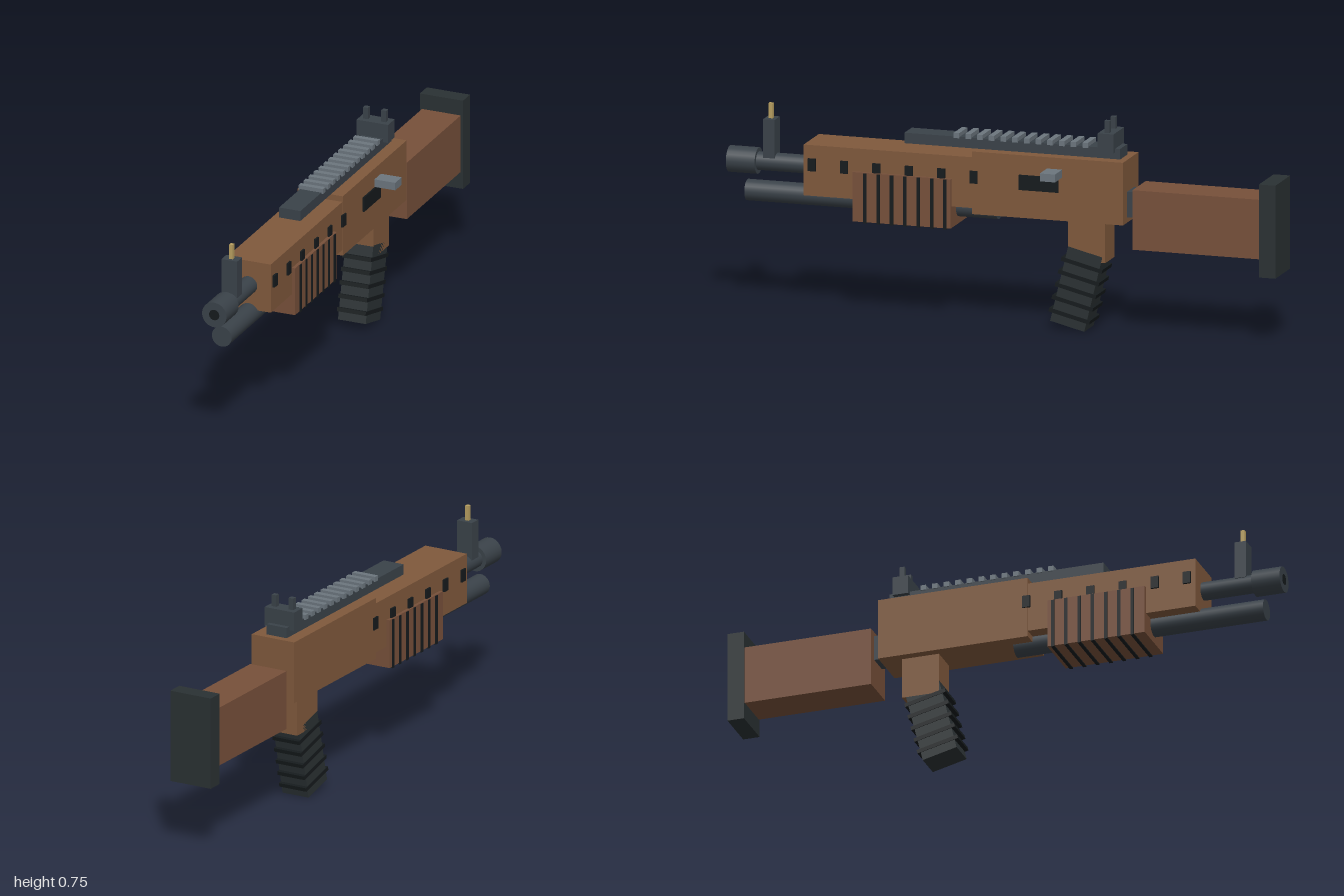
import * as THREE from 'three';

const CX = -0.033; // centre line of the body

const mat = (color) => new THREE.MeshStandardMaterial({ color });

export function createModel() {
  const model = new THREE.Group();
  const tan = mat(0x80593c), wood = mat(0x77503a), metal = mat(0x3a4249);
  const rubber = mat(0x2a3133), black = mat(0x151a1c), steel = mat(0x6c767e), brass = mat(0xb89f60);

  // box on the centre line (offset dx), given its width and its y and z ranges
  function box(name, material, w, y0, y1, z0, z1, dx = 0, parent = model) {
    const m = new THREE.Mesh(new THREE.BoxGeometry(w, y1 - y0, z1 - z0), material);
    m.position.set(CX + dx, (y0 + y1) / 2, (z0 + z1) / 2);
    m.name = name;
    parent.add(m);
    return m;
  }

  // round bar along z
  function tube(name, material, r, y, z0, z1) {
    const g = new THREE.CylinderGeometry(r, r, z1 - z0, 24).rotateX(Math.PI / 2);
    const m = new THREE.Mesh(g, material);
    m.position.set(CX, y, (z0 + z1) / 2);
    m.name = name;
    model.add(m);
  }

  // main body
  box('receiver', tan, 0.17, 0.396, 0.617, -0.45, 0.095);
  box('foreBody', tan, 0.166, 0.417, 0.596, 0.09, 0.705);

  // stock
  box('stockConnector', metal, 0.08, 0.415, 0.505, -0.49, -0.44);
  box('stock', wood, 0.145, 0.31, 0.52, -0.945, -0.48);
  box('buttPad', rubber, 0.162, 0.248, 0.576, -1, -0.94);

  // barrel, muzzle and lower tube
  tube('barrel', metal, 0.032, 0.507, 0.65, 0.92);
  tube('muzzle', metal, 0.046, 0.507, 0.895, 0.999);
  tube('bore', black, 0.019, 0.507, 0.96, 1);
  tube('magazineTube', metal, 0.037, 0.402, 0.025, 0.935);

  // ribbed pump handle
  box('pump', wood, 0.19, 0.341, 0.515, 0.17, 0.525);
  for (let i = 0; i < 7; i++) {
    const z = 0.19 + i * 0.0483;
    box('pumpRib', black, 0.196, 0.337, 0.513, z - 0.006, z + 0.006);
  }

  // vent slots on both sides
  for (let i = 0; i < 6; i++) {
    const z = 0.09 + i * 0.117;
    for (const s of [-1, 1]) box('ventSlot', black, 0.012, 0.505, 0.549, z - 0.014, z + 0.014, s * 0.084);
  }

  // ejection port and charging handle
  box('ejectionPort', black, 0.012, 0.495, 0.548, -0.217, -0.075, 0.085);
  box('chargingHandle', steel, 0.09, 0.549, 0.577, -0.23, -0.175, 0.118);

  // top rail with teeth
  box('rail', metal, 0.08, 0.617, 0.654, -0.425, 0.355);
  for (let i = 0; i < 12; i++) {
    const z = -0.3 + i * 0.0423;
    box('railTooth', steel, 0.092, 0.65, 0.668, z - 0.01, z + 0.01);
  }

  // rear sight
  box('rearSightBase', metal, 0.118, 0.641, 0.708, -0.407, -0.35);
  for (const s of [-1, 1]) box('rearSightPost', metal, 0.018, 0.7, 0.75, -0.387, -0.369, s * 0.034);

  // front sight
  box('frontSightBase', metal, 0.059, 0.525, 0.661, 0.828, 0.87);
  box('frontSightPin', brass, 0.014, 0.655, 0.714, 0.842, 0.857);

  // grip: straight neck and a tilted ribbed handle
  box('gripNeck', tan, 0.104, 0.25, 0.4, -0.375, -0.24);
  const grip = new THREE.Group();
  grip.name = 'grip';
  grip.position.set(0, 0.151, -0.27);
  grip.rotation.x = -0.24;
  model.add(grip);
  box('gripBody', rubber, 0.104, -0.1375, 0.1375, -0.0635, 0.0635, 0, grip);
  for (let i = 0; i < 5; i++) {
    const y = -0.1 + i * 0.047;
    box('gripRib', black, 0.108, y - 0.007, y + 0.007, -0.075, 0.077, 0, grip);
  }

  return model;
}
